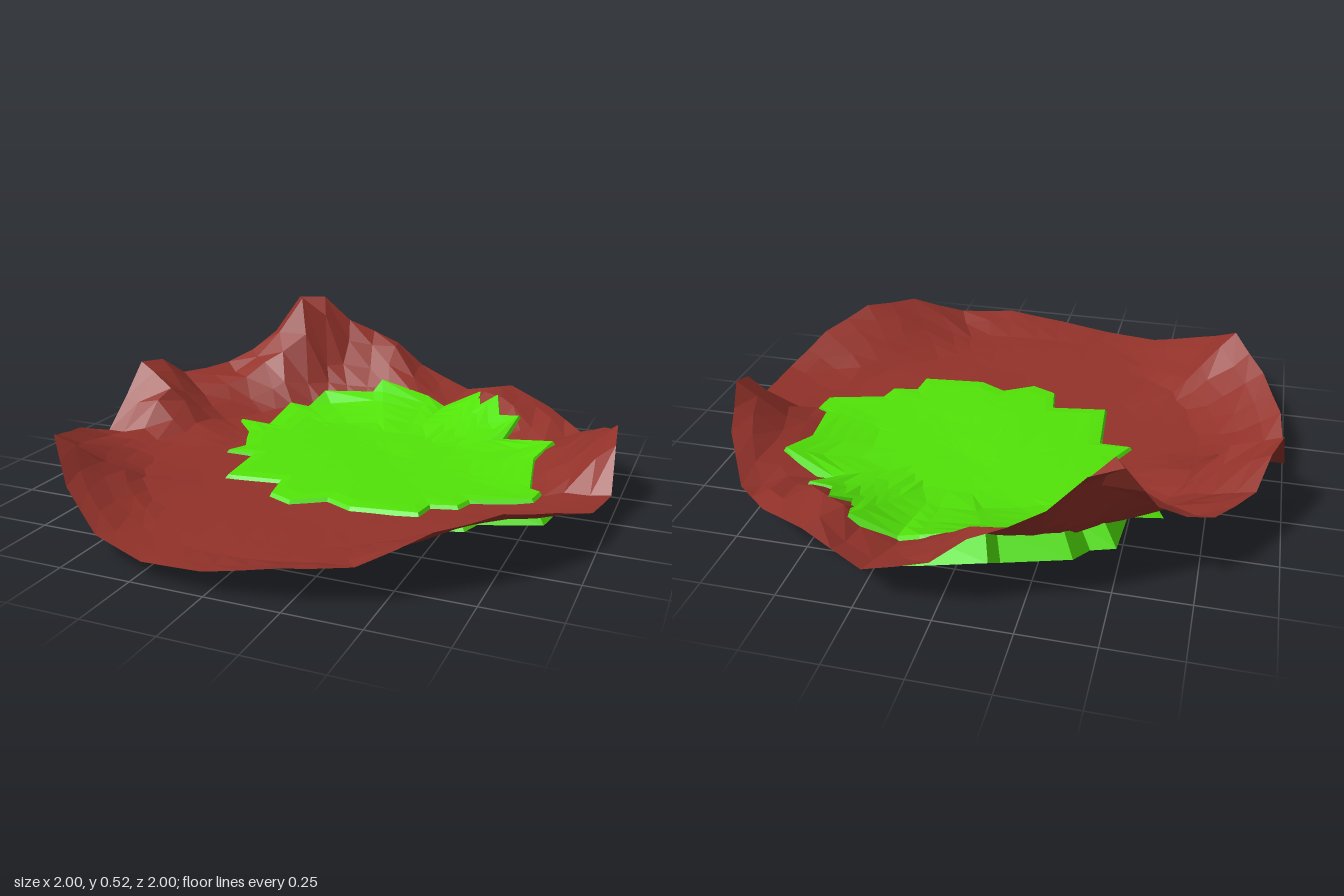
import * as THREE from 'three';

const SIDES = 28;
const FLOOR = 0.058;
const TABLE_RADII = [0, 0.5, 0.7, 0.84, 1];

// Heights round the disc, from the front (+z) towards +x
const BANK = [
  0.058, 0.06, 0.06, 0.065, 0.075, 0.07, 0.06, 0.06, 0.08, 0.09, 0.07, 0.10, 0.12, 0.08,
  0.12, 0.11, 0.09, 0.10, 0.08, 0.08, 0.10, 0.065, 0.06, 0.07, 0.08, 0.065, 0.06, 0.058];
const SLOPE = [
  0.058, 0.065, 0.075, 0.12, 0.15, 0.12, 0.08, 0.075, 0.14, 0.14, 0.09, 0.18, 0.19, 0.10,
  0.20, 0.21, 0.23, 0.30, 0.19, 0.15, 0.25, 0.08, 0.09, 0.12, 0.17, 0.10, 0.062, 0.058];
const RIM = [
  0.08, 0.12, 0.13, 0.22, 0.24, 0.19, 0.12, 0.10, 0.27, 0.20, 0.11, 0.15, 0.19, 0.13,
  0.21, 0.35, 0.47, 0.33, 0.24, 0.22, 0.30, 0.08, 0.16, 0.21, 0.28, 0.17, 0.08, 0.06];

// Extra summits as [x, z, height, spread]
const SUMMITS = [
  [-0.49, -0.79, 0.18, 0.1], [-0.11, -0.92, 0.06, 0.08],
  [-0.93, -0.31, 0.05, 0.09], [0.97, -0.13, 0.07, 0.07]];

// Jagged grass outline as [x, z]
const GRASS = [
  [-0.11, -0.78], [0.10, -0.78], [0.18, -0.76], [0.33, -0.78], [0.36, -0.67], [0.42, -0.72],
  [0.46, -0.60], [0.54, -0.60], [0.51, -0.47], [0.72, -0.39], [0.68, -0.25], [0.72, -0.02],
  [0.76, 0.00], [0.75, 0.08], [0.55, 0.15], [0.53, 0.22], [0.44, 0.24], [0.43, 0.33],
  [0.20, 0.36], [0.10, 0.31], [-0.01, 0.38], [-0.10, 0.34], [-0.12, 0.22], [-0.32, 0.25],
  [-0.34, 0.00], [-0.45, 0.00], [-0.41, -0.08], [-0.48, -0.24], [-0.56, -0.32], [-0.44, -0.33],
  [-0.44, -0.54], [-0.36, -0.55], [-0.33, -0.66], [-0.13, -0.72]].reverse();
const GRASS_CENTRE = [0.12, -0.2];

function makeRandom(seed) {
  return () => {
    seed = (seed * 16807) % 2147483647;
    return seed / 2147483647;
  };
}

// Ground height: blends the height rings over radius and angle, then adds the summits
function groundHeight(x, z) {
  const r = Math.min(Math.hypot(x, z), 1);
  const turn = ((Math.atan2(x, z) / (Math.PI * 2) + 1) % 1) * SIDES;
  const k = Math.floor(turn + 1e-6) % SIDES;
  const t = Math.max(0, turn - Math.floor(turn + 1e-6));
  const at = (ring) => ring ? THREE.MathUtils.lerp(ring[k], ring[(k + 1) % SIDES], t) : FLOOR;
  const rings = [null, null, BANK, SLOPE, RIM];
  let i = 0;
  while (i < 3 && r > TABLE_RADII[i + 1]) i++;
  const f = (r - TABLE_RADII[i]) / (TABLE_RADII[i + 1] - TABLE_RADII[i]);
  let y = THREE.MathUtils.lerp(at(rings[i]), at(rings[i + 1]), f);
  y += 0.003 * Math.sin(9 * x + 2) * Math.cos(8 * z) * (1 - r);
  for (const [sx, sz, height, spread] of SUMMITS) {
    y += height * Math.exp(-((x - sx) ** 2 + (z - sz) ** 2) / spread ** 2);
  }
  return y;
}

// Joins closed rows of points, from the inside out, into one faceted surface
function loftRows(rows) {
  const n = rows[0].length;
  const index = [];
  for (let i = 0; i < rows.length - 1; i++) {
    for (let j = 0; j < n; j++) {
      const a = i * n + j, d = i * n + (j + 1) % n;
      const b = a + n, c = d + n;
      index.push(a, b, c);
      if (rows[i][j] !== rows[i][(j + 1) % n]) index.push(a, c, d);
    }
  }
  const indexed = new THREE.BufferGeometry();
  indexed.setAttribute('position', new THREE.Float32BufferAttribute(rows.flat(2), 3));
  indexed.setIndex(index);
  const geometry = indexed.toNonIndexed();
  geometry.computeVertexNormals();
  return geometry;
}

function addPart(group, name, rows, material) {
  const mesh = new THREE.Mesh(loftRows(rows), material);
  mesh.name = name;
  group.add(mesh);
}

export function createModel() {
  const group = new THREE.Group();
  group.name = 'terrainDisc';
  const style = { flatShading: true, side: THREE.DoubleSide };
  const soil = new THREE.MeshStandardMaterial({ name: 'red soil', color: 0x93322a, ...style });
  const green = new THREE.MeshStandardMaterial({ name: 'grass green', color: 0x52e408, ...style });
  const random = makeRandom(41);

  // Soil sheet with a hilly rim; the outer edge keeps 28 straight sides
  const columns = SIDES * 2;
  const radii = [0, 0.17, 0.34, 0.5, 0.6, 0.7, 0.77, 0.84, 0.93, 1];
  const soilRows = radii.map((radius) => {
    const middle = [0, FLOOR, 0];
    return Array.from({ length: columns }, (_, k) => {
      if (radius === 0) return middle;
      const wobble = radius > 0.55 && radius < 0.9 ? 1 : 0;
      const rough = radius > 0.8 && radius < 1 ? 0.02 : 0;
      const chord = radius === 1 && k % 2 ? Math.cos(Math.PI / SIDES) : 1;
      const r = radius * chord + wobble * (random() - 0.5) * 0.03;
      const angle = (k + wobble * (random() - 0.5) * 0.5) / columns * Math.PI * 2;
      const x = Math.sin(angle) * r, z = Math.cos(angle) * r;
      const y = groundHeight(x, z);
      return [x, y + (y > 0.1 ? rough * (random() - 0.5) : 0), z];
    });
  });
  addPart(group, 'soil', soilRows, soil);

  // Grass layer just above the soil
  const [cx, cz] = GRASS_CENTRE;
  const grassRows = [0, 0.2, 0.4, 0.6, 0.7, 0.8, 0.9, 1].map((s) => {
    const middle = [cx, groundHeight(cx, cz) + 0.014, cz];
    return GRASS.map(([px, pz]) => {
      if (s === 0) return middle;
      const x = cx + (px - cx) * s, z = cz + (pz - cz) * s;
      return [x, groundHeight(x, z) + (s < 1 ? 0.017 : 0.013), z];
    });
  });
  addPart(group, 'grass', grassRows, green);

  // Flared grass edge that reaches through the soil
  const edge = grassRows[grassRows.length - 1];
  const hem = edge.map(([x, y, z]) => {
    const d = Math.hypot(x - cx, z - cz);
    return [x + (x - cx) / d * 0.055, Math.max(0, y - 0.08), z + (z - cz) / d * 0.055];
  });
  addPart(group, 'grassEdge', [edge, hem], green);

  return group;
}
